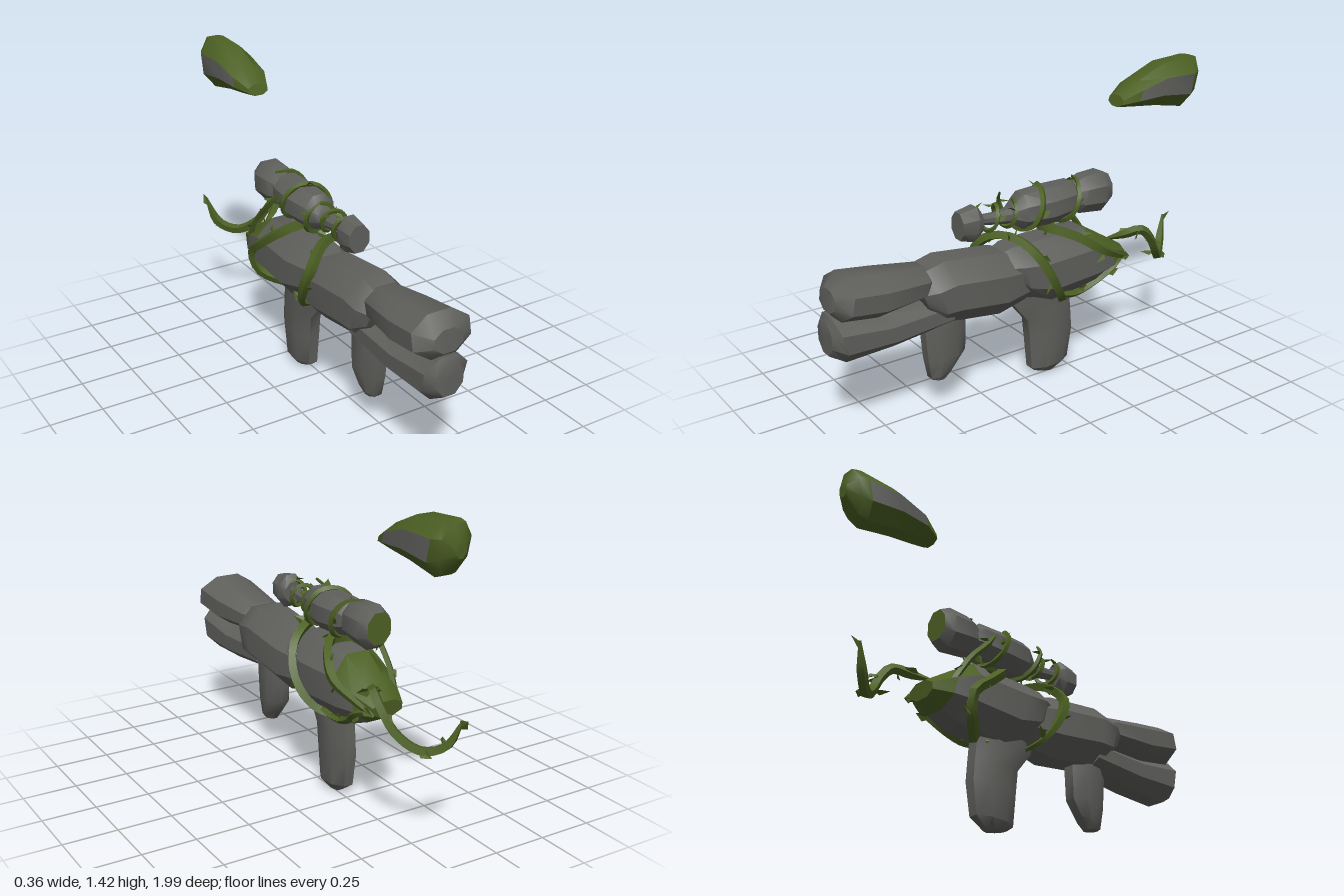
import * as THREE from 'three';
import { toCreasedNormals } from 'three/addons/utils/BufferGeometryUtils.js';

const stone = new THREE.MeshStandardMaterial({ color: 0x5f5f5c });
stone.name = 'stone';
const moss = new THREE.MeshStandardMaterial({ color: 0x4c6023, side: THREE.DoubleSide });
moss.name = 'moss';
const CX = -0.016, SIDES = 8;

// Octagonal loft. Ring: [axis at low side, axis at high side, low, high, half width].
// isMoss(segment, side) picks mossy faces; segment -1 and rings.length - 1 are the caps.
function loft(name, rings, { upright = false, isMoss = () => false, crease = 0.65 } = {}) {
  const pos = [], faces = [[], []];
  const mid = [];
  rings.forEach(([a0, a1, lo, hi, hw]) => {
    for (let j = 0; j < SIDES; j++) {
      const t = ((j - 0.5) / SIDES) * Math.PI * 2, k = 1 / Math.cos(Math.PI / SIDES);
      const f = (Math.sin(t) * k + 1) / 2;
      pos.push(Math.cos(t) * k * hw, lo + (hi - lo) * f, a0 + (a1 - a0) * f);
    }
    mid.push([0, (lo + hi) / 2, (a0 + a1) / 2]);
  });
  const n = rings.length, front = n * SIDES, rear = front + 1;
  pos.push(...mid[0], ...mid[n - 1]);
  for (let j = 0; j < SIDES; j++) {
    const k = (j + 1) % SIDES;
    for (let i = 0; i < n - 1; i++) {
      const p = i * SIDES, q = p + SIDES;
      faces[isMoss(i, j) ? 1 : 0].push(p + j, q + j, p + k, p + k, q + j, q + k);
    }
    const e = (n - 1) * SIDES;
    faces[isMoss(-1, j) ? 1 : 0].push(front, j, k);
    faces[isMoss(n - 1, j) ? 1 : 0].push(rear, e + k, e + j);
  }
  let geo = new THREE.BufferGeometry();
  geo.setAttribute('position', new THREE.Float32BufferAttribute(pos, 3));
  geo.setIndex([...faces[0], ...faces[1]]);
  geo.addGroup(0, faces[0].length, 0);
  geo.addGroup(faces[0].length, faces[1].length, 1);
  if (upright) geo.rotateX(-Math.PI / 2);
  geo = toCreasedNormals(geo, crease);
  const mesh = new THREE.Mesh(geo, [stone, moss]);
  mesh.name = name;
  mesh.position.x = CX;
  return mesh;
}

// Upright stone. Ring: [y at front, y at rear, front z, rear z, half width], top first.
const uprightLoft = (name, rings) =>
  loft(name, rings.map(([y0, y1, zf, zr, w]) => [y0, y1, -zf, -zr, w]), { upright: true });

// Folded diamond leaf growing along +y
function leafGeometry() {
  const g = new THREE.BufferGeometry();
  g.setAttribute('position', new THREE.Float32BufferAttribute(
    [0, 0, 0, 0.3, 0.45, 0.12, 0, 1, 0, 0, 0, 0, 0, 1, 0, -0.3, 0.45, 0.12], 3));
  g.computeVertexNormals();
  return g;
}
const leafGeo = leafGeometry();

// Tapered four-sided vine with leaves spaced along it
function vine(name, points, radius, leaves, leafSize, endTaper = 0.4) {
  const group = new THREE.Group();
  group.name = name;
  const curve = new THREE.CatmullRomCurve3(points.map(p => new THREE.Vector3(...p)));
  const steps = points.length * 3, radial = 4;
  let geo = new THREE.TubeGeometry(curve, steps, radius, radial);
  const p = geo.attributes.position, v = new THREE.Vector3();
  for (let i = 0; i <= steps; i++) {
    const c = curve.getPointAt(i / steps);
    const edge = Math.min(i, steps - i) / steps;
    const s = Math.min(1, endTaper + edge * 5);
    for (let j = 0; j <= radial; j++) {
      const k = i * (radial + 1) + j;
      v.fromBufferAttribute(p, k).sub(c).multiplyScalar(s).add(c);
      p.setXYZ(k, v.x, v.y, v.z);
    }
  }
  geo = toCreasedNormals(geo, 0.5);
  const stem = new THREE.Mesh(geo, moss);
  stem.name = 'stem';
  group.add(stem);
  const up = new THREE.Vector3(0, 1, 0);
  for (let i = 0; i < leaves; i++) {
    const t = (i + 0.6) / leaves, c = curve.getPointAt(t), tan = curve.getTangentAt(t);
    const side = new THREE.Vector3(0, 0, i % 2 ? 1 : -1).addScaledVector(tan, 0.7);
    side.y += i % 3 === 0 ? 0.5 : -0.2;
    const leaf = new THREE.Mesh(leafGeo, moss);
    leaf.name = 'leaf';
    leaf.position.copy(c);
    leaf.quaternion.setFromUnitVectors(up, side.normalize());
    leaf.rotateY(i * 1.9);
    leaf.scale.setScalar(leafSize);
    group.add(leaf);
  }
  return group;
}

// Points of a spiral around the sight
function spiral(z0, z1, turns, rx, ry, cy, phase) {
  const n = Math.round(turns * 7);
  return Array.from({ length: n + 1 }, (_, i) => {
    const a = phase + (i / n) * turns * Math.PI * 2;
    return [CX + Math.cos(a) * rx, cy + Math.sin(a) * ry, z0 + ((z1 - z0) * i) / n];
  });
}

export function createModel() {
  const model = new THREE.Group();
  model.name = 'overgrownStoneBlaster';

  // Barrels
  model.add(loft('upperBarrel', [
    [0.985, 0.975, 0.62, 0.72, 0.07], [0.95, 0.91, 0.585, 0.77, 0.143],
    [0.78, 0.75, 0.56, 0.75, 0.135], [0.58, 0.54, 0.58, 0.72, 0.11], [0.5, 0.5, 0.6, 0.7, 0.06]]));
  model.add(loft('lowerBarrel', [
    [1.0, 1.0, 0.43, 0.58, 0.065], [0.93, 0.985, 0.39, 0.605, 0.107],
    [0.7, 0.75, 0.4, 0.565, 0.107], [0.42, 0.45, 0.43, 0.57, 0.1]]));

  // Fore stock and rear body with mossy butt
  model.add(loft('foreStock', [
    [0.54, 0.6, 0.52, 0.66, 0.1], [0.46, 0.55, 0.45, 0.71, 0.14],
    [0.4, 0.45, 0.44, 0.735, 0.143], [0.17, 0.17, 0.41, 0.705, 0.14], [0.0, 0.0, 0.44, 0.66, 0.1]]));
  model.add(loft('rearBody', [
    [0.08, 0.18, 0.52, 0.68, 0.09], [0.02, 0.1, 0.45, 0.71, 0.128],
    [-0.12, -0.02, 0.4, 0.715, 0.14], [-0.36, -0.3, 0.42, 0.72, 0.135],
    [-0.46, -0.42, 0.46, 0.65, 0.115], [-0.53, -0.54, 0.5, 0.575, 0.075]],
  { isMoss: (s, j) => s >= 4 || (s === 3 && j > 0 && j < 4) }));

  // Grips
  model.add(uprightLoft('frontGrip', [
    [0.48, 0.48, 0.535, 0.335, 0.062], [0.4, 0.4, 0.537, 0.33, 0.062],
    [0.26, 0.27, 0.525, 0.335, 0.06], [0.165, 0.2, 0.51, 0.39, 0.045], [0.155, 0.15, 0.5, 0.43, 0.03]]));
  model.add(uprightLoft('rearGrip', [
    [0.5, 0.5, 0.08, -0.24, 0.062], [0.41, 0.41, 0.07, -0.245, 0.062],
    [0.31, 0.3, -0.01, -0.255, 0.062], [0.2, 0.21, -0.022, -0.262, 0.062],
    [0.05, 0.06, -0.035, -0.24, 0.055], [0.03, 0.01, -0.06, -0.17, 0.03]]));

  // Sight on top
  model.add(loft('sightFront', [
    [0.345, 0.345, 0.79, 0.915, 0.05], [0.28, 0.26, 0.772, 0.93, 0.06],
    [0.235, 0.235, 0.8, 0.9, 0.045]]));
  model.add(loft('sightNeck', [
    [0.25, 0.25, 0.84, 0.88, 0.02], [0.15, 0.15, 0.82, 0.875, 0.025], [0.0, 0.0, 0.8, 0.89, 0.045]]));
  model.add(loft('sightBody', [
    [0.09, 0.07, 0.82, 0.89, 0.04], [0.02, 0.02, 0.775, 0.94, 0.075],
    [-0.12, -0.12, 0.77, 0.945, 0.088], [-0.25, -0.25, 0.785, 0.945, 0.08], [-0.3, -0.3, 0.82, 0.9, 0.05]]));
  model.add(loft('sightRear', [
    [-0.24, -0.24, 0.81, 0.92, 0.045], [-0.29, -0.32, 0.785, 0.955, 0.078],
    [-0.42, -0.42, 0.77, 0.96, 0.08], [-0.465, -0.465, 0.8, 0.94, 0.058]],
  { isMoss: s => s === 3 }));

  // Floating mossy stone with bare flanks
  model.add(loft('floatingStone', [
    [-0.51, -0.525, 1.25, 1.3, 0.05], [-0.58, -0.62, 1.245, 1.36, 0.085],
    [-0.72, -0.76, 1.23, 1.42, 0.092], [-0.88, -0.93, 1.2, 1.43, 0.092],
    [-0.92, -0.97, 1.22, 1.425, 0.07], [-0.985, -0.99, 1.29, 1.36, 0.025]],
  { isMoss: (s, j) => !(s > 0 && s < 3 && (j === 0 || j === 4)) }));

  // Vines around the body
  model.add(vine('bodyVine', [
    [-0.05, 0.41, 0.02], [-0.13, 0.45, 0.06], [-0.165, 0.56, 0.13], [-0.15, 0.67, 0.17],
    [-0.08, 0.74, 0.13], [0.02, 0.745, 0.07], [0.11, 0.69, 0.02], [0.15, 0.58, -0.04],
    [0.13, 0.48, -0.1], [0.08, 0.42, -0.15], [-0.02, 0.4, -0.24], [-0.12, 0.44, -0.34],
    [-0.15, 0.54, -0.36], [-0.15, 0.63, -0.26], [-0.09, 0.72, -0.15], [0.01, 0.74, -0.14],
    [0.09, 0.705, -0.23], [0.13, 0.63, -0.34], [0.1, 0.57, -0.45], [0.06, 0.52, -0.54]],
  0.025, 15, 0.07));
  model.add(vine('lowerVine', [
    [0.08, 0.43, -0.15], [0.06, 0.41, -0.26], [0.07, 0.45, -0.37], [0.09, 0.51, -0.45], [0.05, 0.54, -0.53]],
  0.018, 4, 0.07));
  model.add(vine('tailVine', [
    [-0.02, 0.6, -0.48], [0.06, 0.64, -0.53], [0.1, 0.66, -0.6], [0.1, 0.6, -0.66],
    [0.07, 0.51, -0.72], [0, 0.45, -0.8], [-0.07, 0.48, -0.87], [-0.11, 0.6, -0.92]],
  0.023, 7, 0.075, 0.25));

  // Vines around the sight
  model.add(vine('neckVine', spiral(0.26, 0.02, 2.5, 0.05, 0.055, 0.855, 0.4), 0.011, 7, 0.05));
  model.add(vine('sightVine', spiral(0.1, -0.3, 2, 0.094, 0.094, 0.86, 2), 0.014, 8, 0.06));
  model.add(vine('linkVine', [
    [-0.1, 0.88, -0.2], [-0.115, 0.8, -0.27], [-0.12, 0.72, -0.35], [-0.12, 0.62, -0.42], [-0.1, 0.52, -0.47]],
  0.015, 4, 0.06));
  return model;
}
